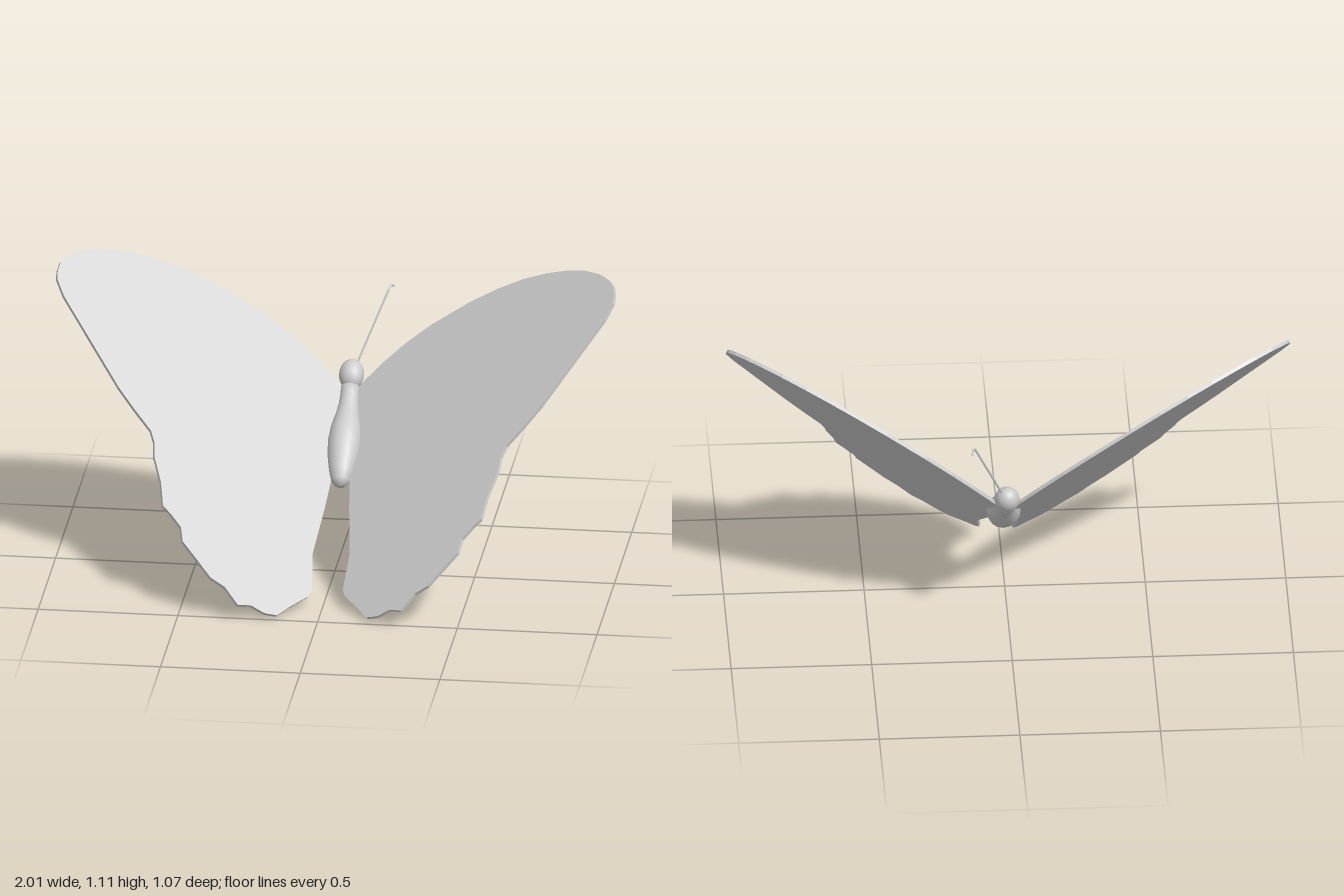
import * as THREE from 'three';

const material = new THREE.MeshStandardMaterial({ color: 0xcccccc });

// Wing outline seen from above: [distance from the middle, z]
const OUTLINE = [
  [0.03, -0.34], [0.067, -0.36], [0.13, -0.38], [0.21, -0.395], [0.3, -0.4], [0.44, -0.39],
  [0.54, -0.372], [0.634, -0.347], [0.72, -0.314], [0.805, -0.273], [0.87, -0.233], [0.928, -0.187],
  [0.965, -0.146], [0.987, -0.11], [0.993, -0.08], [0.992, -0.053], [0.965, -0.016],
  [0.83, 0.085], [0.757, 0.139], [0.7, 0.17], [0.64, 0.198], [0.625, 0.225], [0.619, 0.27],
  [0.59, 0.33], [0.575, 0.396], [0.545, 0.405], [0.51, 0.422], [0.5, 0.46], [0.45, 0.483],
  [0.398, 0.508], [0.35, 0.505], [0.302, 0.53], [0.26, 0.503], [0.215, 0.497], [0.174, 0.476],
  [0.136, 0.422], [0.083, 0.353], [0.072, 0.326], [0.083, 0.214], [0.061, 0.053],
  [0.05, -0.05], [0.03, -0.15],
];

// Thin flat slab lying in the plane y = height + rise * distance + slope * z
function makeWing(name, side, outline, height, rise, slope) {
  const thickness = 0.012;
  const shape = new THREE.Shape(outline.map(([u, v]) => new THREE.Vector2(u, v)));
  const geometry = new THREE.ExtrudeGeometry(shape, { depth: thickness, bevelEnabled: false });
  geometry.translate(0, 0, -thickness / 2);
  const across = new THREE.Vector3(side, rise, 0);
  const along = new THREE.Vector3(0, slope, 1);
  const normal = new THREE.Vector3().crossVectors(across, along).normalize();
  geometry.applyMatrix4(new THREE.Matrix4().makeBasis(across, along, normal));
  geometry.translate(0, height, 0);
  const mesh = new THREE.Mesh(geometry, material);
  mesh.name = name;
  return mesh;
}

export function createModel() {
  const group = new THREE.Group();
  group.name = 'butterfly';

  // Wings, the right one held slightly lower
  const rightOutline = OUTLINE.map(([u, v]) => [(u - 0.08) * 1.045 + 0.053, v - 0.025 * u]);
  group.add(
    makeWing('leftWing', 1, OUTLINE, 0.26, 0.753, -0.785),
    makeWing('rightWing', -1, rightOutline, 0.273, 0.699, -0.786),
  );

  // Body: plump abdomen narrowing to the neck
  const profile = [
    [0, 0], [0.02, 0.005], [0.033, 0.022], [0.044, 0.055], [0.055, 0.11], [0.061, 0.175],
    [0.056, 0.235], [0.043, 0.29], [0.036, 0.335], [0.034, 0.375], [0.034, 0.405], [0, 0.415],
  ].map(([r, h]) => new THREE.Vector2(r, h));
  const body = new THREE.Mesh(new THREE.LatheGeometry(profile, 16), material);
  body.name = 'body';
  body.position.set(0.013, 0.315, -0.03);
  body.rotation.x = -0.89;
  group.add(body);

  // Head
  const head = new THREE.Mesh(new THREE.SphereGeometry(1, 16, 12), material);
  head.name = 'head';
  head.scale.set(0.045, 0.057, 0.045);
  head.position.set(0.012, 0.605, -0.38);
  head.rotation.x = -0.67;
  group.add(head);

  // Single antenna with a hooked tip
  const path = new THREE.CurvePath();
  const points = [[0.025, 0.63, -0.395], [0.13, 0.888, -0.497], [0.136, 0.9, -0.508], [0.14, 0.899, -0.52], [0.143, 0.889, -0.538]]
    .map((p) => new THREE.Vector3(...p));
  for (let i = 1; i < points.length; i++) path.add(new THREE.LineCurve3(points[i - 1], points[i]));
  const antenna = new THREE.Mesh(new THREE.TubeGeometry(path, 60, 0.004, 6), material);
  antenna.name = 'antenna';
  group.add(antenna);

  return group;
}
